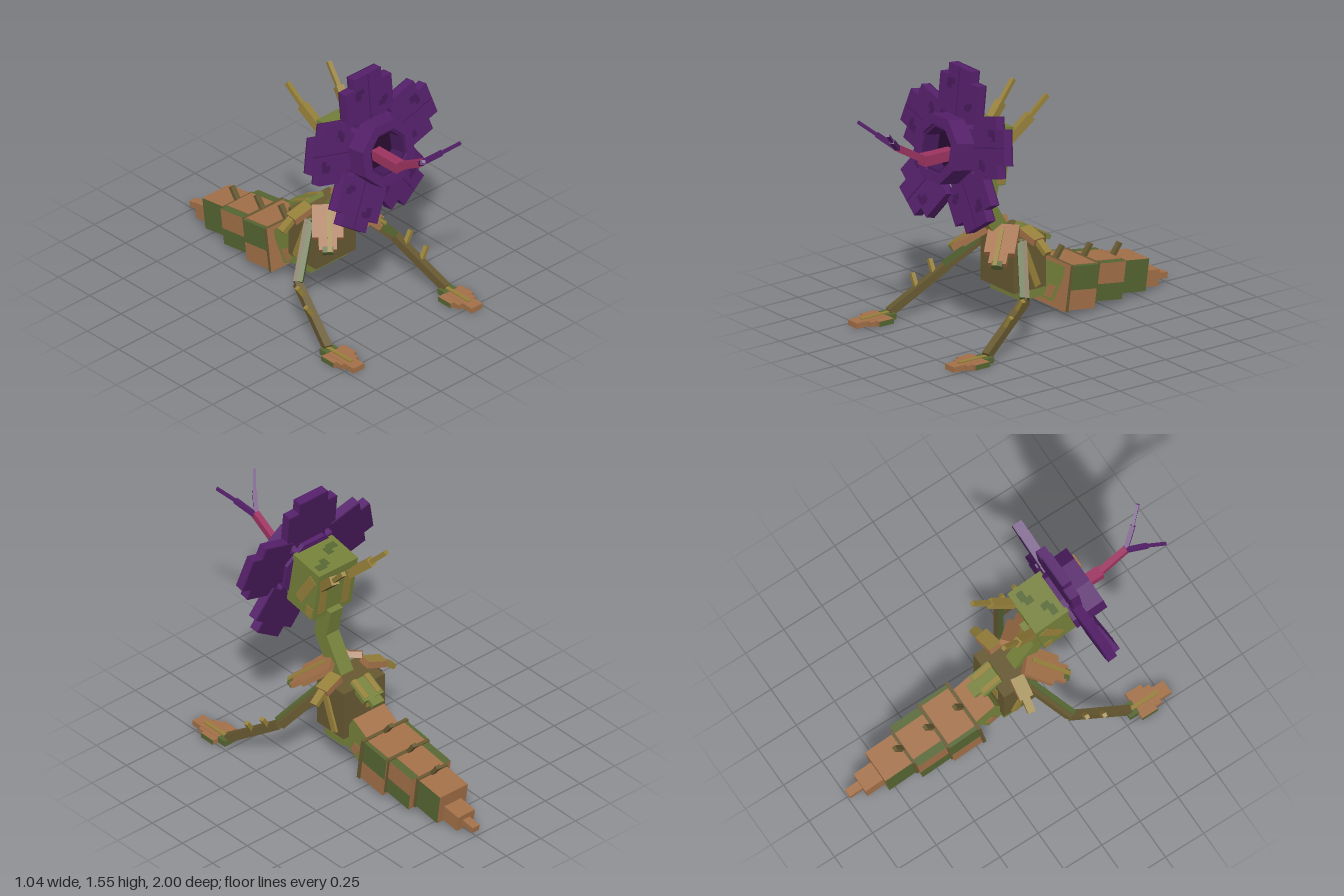
import * as THREE from 'three';

const mat = (name, color) => {
  const m = new THREE.MeshStandardMaterial({ color });
  m.name = name;
  return m;
};
const green = mat('leafGreen', 0x75803a);
const moss = mat('mossGreen', 0x566632);
const ochre = mat('ochre', 0x96803a);
const tan = mat('tan', 0xa27048);
const bark = mat('bark', 0x665831);
const brown = mat('darkBrown', 0x74492e);
const pink = mat('tonguePink', 0x9c3360);
const purple = mat('petalPurple', 0x55206a);
const plum = mat('petalShade', 0x461a59);
const wine = mat('throat', 0x270b2e);

const V = (x, y, z) => new THREE.Vector3(x, y, z);
const UP = V(0, 1, 0);
const rad = THREE.MathUtils.degToRad;

function add(parent, name, geo, material) {
  const m = new THREE.Mesh(geo, material);
  m.name = name;
  parent.add(m);
  return m;
}
function box(parent, name, size, pos, material) {
  const m = add(parent, name, new THREE.BoxGeometry(...size), material);
  m.position.set(...pos);
  return m;
}
// Square bar running from a to b in the parent's frame
function beam(parent, name, a, b, w, h, material) {
  const m = box(parent, name, [w, h, a.distanceTo(b)], a.clone().lerp(b, 0.5).toArray(), material);
  m.quaternion.setFromRotationMatrix(new THREE.Matrix4().lookAt(b, a, UP));
  return m;
}
function group(parent, name) {
  const g = new THREE.Group();
  g.name = name;
  parent.add(g);
  return g;
}
const extrude = (shape, depth) => new THREE.ExtrudeGeometry(shape, { depth, bevelEnabled: false });
const octagon = (r) => Array.from({ length: 8 }, (_, i) => {
  const a = (i + 0.5) * Math.PI / 4;
  return new THREE.Vector2(r * Math.cos(a), r * Math.sin(a));
});

function buildHead(root) {
  const head = group(root, 'head');
  head.position.set(0, 1.085, 0.415);
  head.rotation.x = rad(-10);

  // Skull with mottled plates
  box(head, 'skull', [0.28, 0.33, 0.22], [0, -0.018, -0.145], green);
  for (const s of [-1, 1]) {
    const band = box(head, 'skullBand', [0.006, 0.22, 0.06], [s * 0.14, -0.01, -0.17], ochre);
    band.rotation.x = -0.4;
    box(head, 'skullPatch', [0.006, 0.07, 0.05], [s * 0.14, -0.14, -0.22], ochre);
    box(head, 'backPatch', [0.05, 0.24, 0.006], [s * 0.085, -0.03, -0.255], ochre);
    box(head, 'topPatch', [0.06, 0.006, 0.04], [s * 0.08, 0.147, -0.15 - s * 0.05], moss);
    box(head, 'topPatch', [0.04, 0.006, 0.05], [s * 0.04, 0.147, -0.15 - s * 0.03], moss);
  }

  // Five stepped petals: [angle, forward tilt]
  const outline = [[-0.1, 0.12], [0.1, 0.12], [0.1, 0.19], [0.17, 0.19], [0.17, 0.395], [0.1, 0.395],
    [0.1, 0.462], [-0.1, 0.462], [-0.1, 0.395], [-0.17, 0.395], [-0.17, 0.19], [-0.1, 0.19]];
  const shape = new THREE.Shape(outline.map(([x, y]) => new THREE.Vector2(x, y)));
  const petalGeo = extrude(shape, 0.052).translate(0, 0, -0.022);
  const backGeo = extrude(shape, 0.008).translate(0, 0, -0.03);
  [[90, 4], [15.5, 1], [164.5, 1], [-55, -4], [-125, 6]].forEach(([angle, tilt], i) => {
    const spin = group(head, 'petalMount');
    spin.rotation.z = rad(angle - 90);
    spin.position.z = 0.002 * i;
    const petal = group(spin, 'petal');
    petal.rotation.x = rad(tilt);
    add(petal, 'petalBlade', petalGeo, purple);
    add(petal, 'petalBack', backGeo, plum);
    box(petal, 'petalVein', [0.006, 0.28, 0.006], [0, 0.32, 0.029], plum);
    for (const [x, y, w, h] of [[0.09, 0.25, 0.05, 0.03], [0.11, 0.27, 0.04, 0.03], [-0.08, 0.35, 0.04, 0.05], [-0.06, 0.37, 0.05, 0.03]]) {
      box(petal, 'petalSpot', [w, h, 0.004], [x, y, 0.03], plum);
    }
  });

  // Eight-sided mouth tube with a dark lining
  const ring = new THREE.Shape(octagon(0.197));
  ring.holes.push(new THREE.Path(octagon(0.14)));
  add(head, 'mouthTube', extrude(ring, 0.2), purple).position.z = -0.045;
  const lining = new THREE.Shape(octagon(0.141));
  lining.holes.push(new THREE.Path(octagon(0.122)));
  add(head, 'mouthLining', extrude(lining, 0.13), plum).position.z = 0.01;
  add(head, 'throat', extrude(new THREE.Shape(octagon(0.13)), 0.02), wine).position.z = 0.025;

  // Tongue with forked tip
  const tongue = group(root, 'tongue');
  const bend = V(0, 1.065, 0.66), fork = V(0, 1.175, 0.83);
  beam(tongue, 'tongueBase', V(0, 1.062, 0.4), bend, 0.062, 0.06, pink);
  beam(tongue, 'tongueTip', V(0, 1.07, 0.65), fork, 0.036, 0.04, pink);
  for (const s of [-1, 1]) {
    const mid = V(s * 0.07, 1.25, 0.915);
    beam(tongue, 'forkBase', V(0, 1.165, 0.82), mid, 0.026, 0.026, purple);
    beam(tongue, 'forkTip', mid, V(s * 0.137, 1.32, 0.992), 0.016, 0.016, purple);
    // Antennae at the back of the head
    const elbow = V(s * 0.135, 1.225, 0.02);
    const shades = [ochre, ochre, ochre, bark, ochre, ochre];
    beam(root, 'antennaBase', V(s * 0.1, 1.09, 0.16), elbow, 0.045, 0.05, shades);
    beam(root, 'antennaTip', elbow, V(s * 0.155, 1.33, -0.08), 0.025, 0.025, shades);
  }
}

function buildBody(root) {
  // Neck
  beam(root, 'upperNeck', V(0, 0.9, 0.2), V(0, 0.69, 0.245), 0.09, 0.095, green);
  beam(root, 'lowerNeck', V(0, 0.72, 0.245), V(0, 0.48, 0.1), 0.09, 0.1, [green, green, green, ochre, green, green]);

  // Torso
  box(root, 'torso', [0.3, 0.3, 0.22], [0, 0.37, 0.035], bark);
  box(root, 'belly', [0.28, 0.06, 0.16], [0, 0.195, 0.01], green);
  box(root, 'backPatch', [0.08, 0.12, 0.006], [-0.05, 0.42, -0.076], ochre);

  // Collar leaves, mirrored
  for (const s of [-1, 1]) {
    const leaf = group(root, 'collarLeaf');
    beam(leaf, 'frontLeaf', V(s * 0.05, 0.585, 0.13), V(s * 0.16, 0.475, 0.25), 0.17, 0.035, tan);
    beam(leaf, 'frontLeafTip', V(s * 0.155, 0.48, 0.245), V(s * 0.2, 0.435, 0.295), 0.1, 0.034, tan);
    beam(leaf, 'leafEdge', V(s * 0.19, 0.445, 0.284), V(s * 0.21, 0.425, 0.306), 0.06, 0.036, moss);
    beam(leaf, 'leafVein', V(s * 0.07, 0.583, 0.165), V(s * 0.21, 0.443, 0.32), 0.025, 0.009, ochre);
    beam(leaf, 'sideLeaf', V(s * 0.1, 0.56, 0.04), V(s * 0.22, 0.52, 0.025), 0.08, 0.04, [tan, tan, ochre, tan, tan, tan]);
    beam(leaf, 'sideLeafTip', V(s * 0.2, 0.53, 0.025), V(s * 0.285, 0.465, 0.015), 0.045, 0.03, ochre);
    beam(leaf, 'sideStrut', V(s * 0.155, 0.5, 0.09), V(s * 0.155, 0.24, -0.01), 0.02, 0.04, ochre);
    beam(leaf, 'backLeafStripe', V(s * 0.045, 0.547, -0.035), V(s * 0.045, 0.487, -0.145), 0.03, 0.006, ochre);
  }
  beam(root, 'backLeaf', V(0, 0.53, -0.03), V(0, 0.465, -0.15), 0.14, 0.03, green);
  beam(root, 'backLeafTip', V(0, 0.475, -0.13), V(0, 0.445, -0.19), 0.08, 0.028, green);
}

function buildAbdomen(root) {
  const abdomen = group(root, 'abdomen');
  beam(abdomen, 'waist', V(0, 0.27, -0.06), V(0, 0.19, -0.2), 0.225, 0.2, [green, green, tan, brown, green, green]);
  for (const s of [-1, 1]) {
    box(abdomen, 'waistPatch', [0.006, 0.07, 0.05], [s * 0.112, 0.17, -0.13], tan).rotation.x = -0.52;
  }

  // Segments: y, z, width, height, depth, upper and lower colours, top plate share
  const segments = [
    [0.16, -0.32, 0.31, 0.25, 0.2, moss, tan, 0.85],
    [0.148, -0.515, 0.28, 0.215, 0.2, tan, moss, 0.65],
    [0.125, -0.71, 0.2, 0.185, 0.19, moss, moss, 1],
    [0.068, -0.855, 0.12, 0.095, 0.12, tan, tan, 1],
    [0.052, -0.953, 0.05, 0.036, 0.09, tan, tan, 1],
  ];
  segments.forEach(([y, z, w, h, d, upper, lower, share], i) => {
    const g = group(abdomen, 'abdomenSegment');
    g.position.set(0, y, z);
    g.rotation.x = -0.14;
    const top = share < 1 ? moss : tan;
    box(g, 'upperShell', [w, h * 0.55, d], [0, h * 0.225, 0], [upper, upper, top, upper, tan, tan]);
    box(g, 'lowerShell', [w, h * 0.45, d], [0, -h * 0.275, 0], [lower, lower, lower, tan, tan, tan]);
    if (i > 2) return;
    if (share < 1) box(g, 'topPlate', [w * share, 0.006, d], [0, h / 2, 0], tan);
    box(g, 'rim', [w + 0.016, h + 0.016, 0.02], [0, 0, d / 2 - 0.005], [bark, bark, bark, bark, tan, bark]);
    beam(g, 'spike', V(0, h / 2, d / 2 - 0.01), V(0, h / 2 + 0.075, d / 2 - 0.05), 0.03, 0.022, bark);
  });
}

function buildLegs(root) {
  for (const s of [-1, 1]) {
    const leg = group(root, s > 0 ? 'leftLeg' : 'rightLeg');
    const hip = V(s * 0.13, 0.5, 0.07), knee = V(s * 0.355, 0.26, 0.22), ankle = V(s * 0.44, 0.035, 0.55);
    beam(leg, 'thigh', hip, knee, 0.045, 0.05, bark);
    beam(leg, 'thighStripe', hip.clone().add(V(0, 0.012, 0.02)), knee.clone().add(V(0, 0.012, 0.02)), 0.03, 0.035, moss);
    beam(leg, 'shin', knee, ankle, 0.045, 0.045, bark);
    for (const t of [0.22, 0.52]) {
      const p = knee.clone().lerp(ankle, t);
      beam(leg, 'shinSpike', p, p.clone().add(V(s * 0.05, 0.08, -0.005)), 0.024, 0.024, ochre);
    }
    // Leaf-shaped foot
    box(leg, 'footSole', [0.08, 0.032, 0.27], [s * 0.44, 0.018, 0.665], [tan, tan, tan, moss, tan, moss]);
    box(leg, 'footPad', [0.17, 0.03, 0.1], [s * 0.435, 0.017, 0.635], [moss, moss, tan, moss, tan, tan]);
    box(leg, 'footMiddle', [0.125, 0.03, 0.13], [s * 0.437, 0.0165, 0.66], tan);
    box(leg, 'footVein', [0.022, 0.008, 0.2], [s * 0.44, 0.037, 0.64], ochre);
    box(leg, 'footHeel', [0.084, 0.034, 0.06], [s * 0.44, 0.019, 0.56], moss);
  }
}

export function createModel() {
  const root = new THREE.Group();
  root.name = 'flowerMantis';
  buildHead(root);
  buildBody(root);
  buildAbdomen(root);
  buildLegs(root);
  return root;
}
